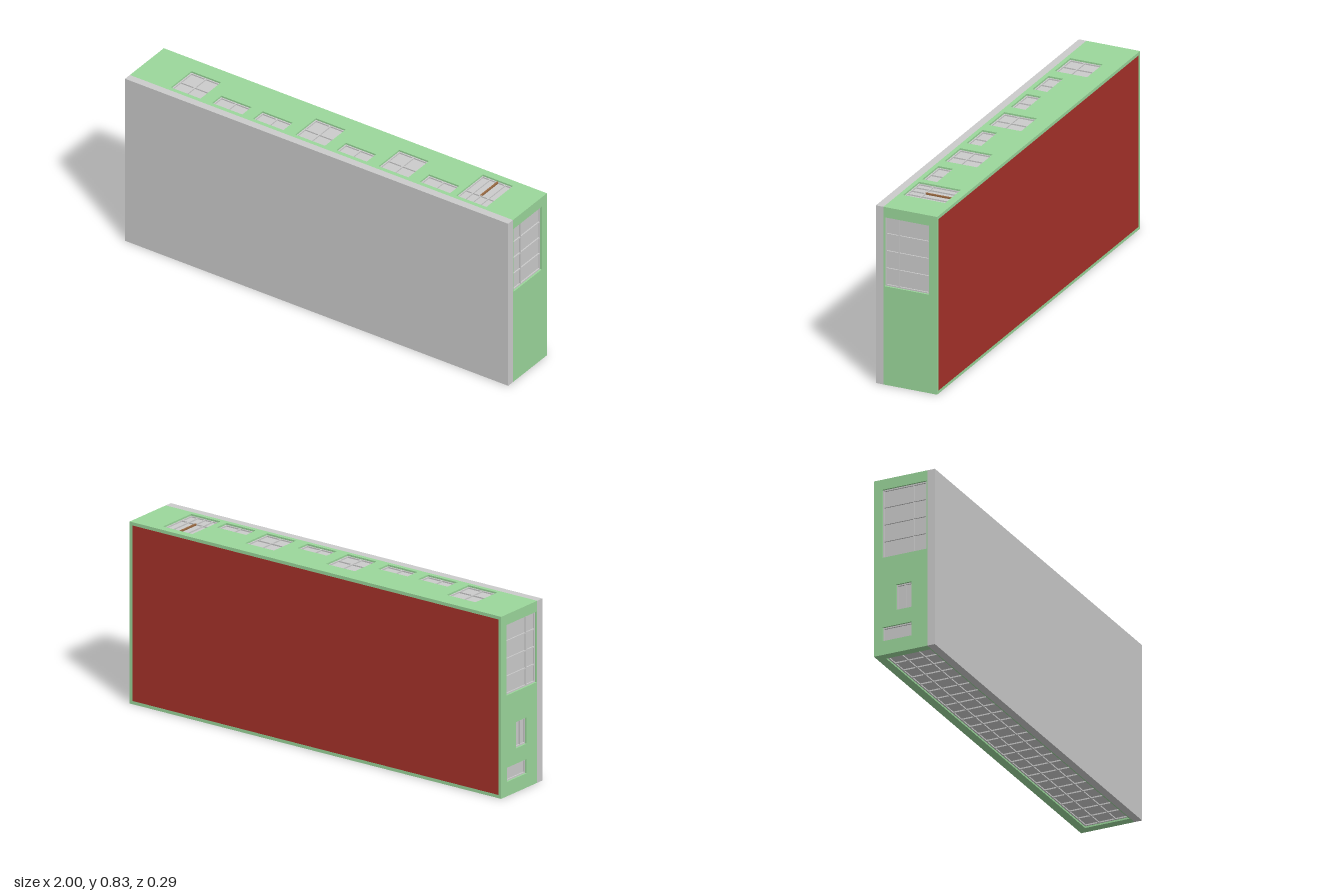
import * as THREE from 'three';

const HX = 1, H = 0.83, HZ = 0.146, SLAB_Z = 0.11; // half length, height, half depth, slab underside
const T = 0.02, GLASS_DEPTH = 0.014;

const mat = (color) => new THREE.MeshStandardMaterial({ color });
const green = mat(0x9bd79b), grey = mat(0xcccccc), red = mat(0xa8322a), wood = mat(0x9a6a42);

function box(name, material, x0, x1, y0, y1, z0, z1) {
  const m = new THREE.Mesh(new THREE.BoxGeometry(x1 - x0, y1 - y0, z1 - z0), material);
  m.position.set((x0 + x1) / 2, (y0 + y1) / 2, (z0 + z1) / 2);
  m.name = name;
  return m;
}

// Wall in a local frame: X along the wall, Y towards the slab, Z outward (0 = outer face)
function wall(name, u0, u1, openings) {
  const g = new THREE.Group();
  g.name = name;
  const rect = (P, a, b, c, d) => new P([
    new THREE.Vector2(a, c), new THREE.Vector2(b, c), new THREE.Vector2(b, d), new THREE.Vector2(a, d)]);
  const shape = rect(THREE.Shape, u0, u1, -HZ, SLAB_Z);
  for (const o of openings) shape.holes.push(rect(THREE.Path, o.u0, o.u1, o.v0, o.v1));
  const geo = new THREE.ExtrudeGeometry(shape, { depth: T, bevelEnabled: false });
  geo.translate(0, 0, -T);
  const panel = new THREE.Mesh(geo, green);
  panel.name = name + 'Panel';
  g.add(panel);
  for (const o of openings) g.add(windowUnit(o));
  return g;
}

// Recessed pane with a frame, evenly spaced mullions and transoms at given heights
function windowUnit({ u0, u1, v0, v1, cols = 1, transoms = [], bar = 0.006, door = false }) {
  const g = new THREE.Group();
  g.name = door ? 'doorway' : 'window';
  const zb = -GLASS_DEPTH, zf = zb + 0.006;
  g.add(box('pane', grey, u0, u1, v0, v1, -T, zb));
  g.add(box('frameSide', grey, u0, u0 + bar, v0, v1, zb, zf));
  g.add(box('frameSide', grey, u1 - bar, u1, v0, v1, zb, zf));
  g.add(box('frameEnd', grey, u0, u1, v0, v0 + bar, zb, zf));
  g.add(box('frameEnd', grey, u0, u1, v1 - bar, v1, zb, zf));
  for (let i = 1; i < cols; i++) {
    const u = u0 + (u1 - u0) * i / cols;
    g.add(box('mullion', grey, u - bar / 2, u + bar / 2, v0, v1, zb, zf));
  }
  for (const v of transoms) g.add(box('transom', grey, u0, u1, v - bar / 2, v + bar / 2, zb, zf));
  if (door) {
    const u = (u0 + u1) / 2;
    g.add(box('doorPost', wood, u - 0.004, u + 0.004, v0, 0.02, zb, zf + 0.001));
  }
  return g;
}

// Places a wall: local X runs along (x or y) times sign, local Y along +z
function place(g, xAxis, zAxis, position) {
  const m = new THREE.Matrix4().makeBasis(xAxis, new THREE.Vector3(0, 0, 1), zAxis);
  m.setPosition(position);
  g.applyMatrix4(m);
  return g;
}

const mirrorU = (o) => ({ ...o, u0: -o.u1, u1: -o.u0 });
const V = (x, y, z) => new THREE.Vector3(x, y, z);

export function createModel() {
  const model = new THREE.Group();
  model.name = 'building';

  // Slab and coloured floor panel
  model.add(box('roofSlab', grey, -HX, HX, 0, H, SLAB_Z, HZ));
  model.add(box('floorPanel', red, -HX + 0.015, HX - 0.015, 0.015, H - 0.015, -HZ - 0.0005, -HZ + 0.02));

  // Upper long wall: tall windows, high small windows and a double door
  const upper = [];
  for (const x of [-0.8, -0.15, 0.285])
    upper.push({ u0: x, u1: x + 0.155, v0: -0.065, v1: 0.09, cols: 2, transoms: [0.02] });
  for (const x of [-0.585, -0.37, 0.065, 0.5])
    upper.push({ u0: x, u1: x + 0.158, v0: 0.02, v1: 0.09, cols: 2 });
  upper.push({ u0: 0.69, u1: 0.848, v0: -0.11, v1: 0.09, cols: 4, transoms: [0.02], bar: 0.005, door: true });
  model.add(place(wall('upperWall', -HX, HX, upper.map(mirrorU)), V(-1, 0, 0), V(0, 1, 0), V(0, H, 0)));

  // Lower long wall: continuous glazing
  const glazing = [{ u0: -0.96, u1: 0.96, v0: -0.107, v1: 0.105, cols: 24, transoms: [-0.04, 0.04] }];
  model.add(place(wall('glazedWall', -HX, HX, glazing), V(1, 0, 0), V(0, -1, 0), V(0, 0, 0)));

  // End walls, fitted between the long walls' outer faces
  const large = { u0: 0.46, u1: 0.782, v0: -0.107, v1: 0.105, cols: 4, transoms: [0.04] };
  model.add(place(wall('leftWall', 0, H, [large]), V(0, 1, 0), V(1, 0, 0), V(HX, 0, 0)));
  const rightOpenings = [
    large,
    { u0: 0.2, u1: 0.32, v0: -0.04, v1: 0.035, transoms: [0] },
    { u0: 0.065, u1: 0.13, v0: -0.105, v1: 0.035 },
  ];
  model.add(place(wall('rightWall', -H, 0, rightOpenings.map(mirrorU)), V(0, -1, 0), V(-1, 0, 0), V(-HX, 0, 0)));

  return model;
}
